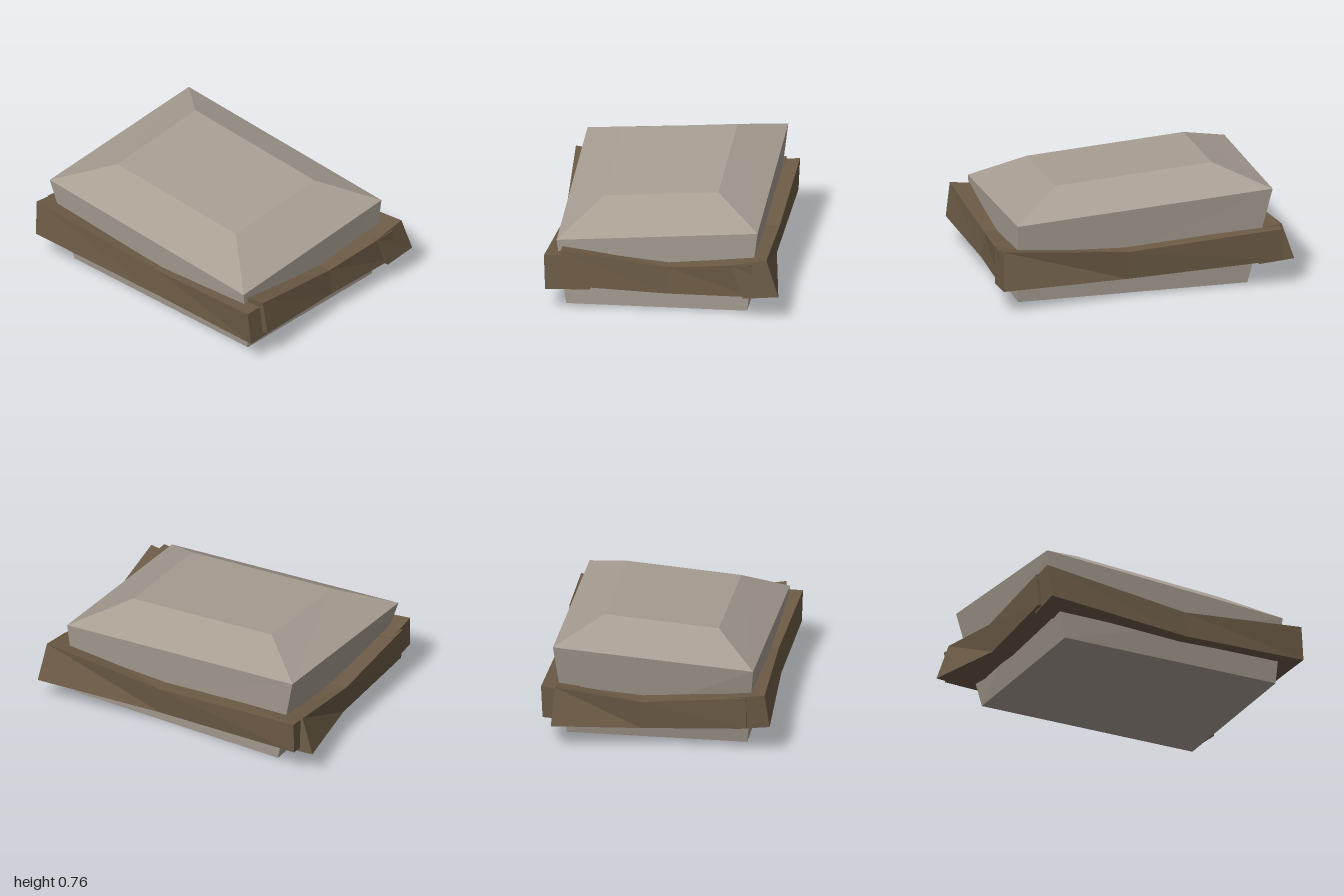
import * as THREE from 'three';

const stone = new THREE.MeshStandardMaterial({ name: 'stone grey', color: 0xa89f93 });
const wood = new THREE.MeshStandardMaterial({ name: 'weathered wood', color: 0x6c5b46 });

// Flat-faced solid lofted through four-cornered sections; corners run
// counter-clockwise when looking back from the last section.
function loft(name, sections, material) {
  const pos = [];
  const quad = (a, b, c, d) => [a, b, c, a, c, d].forEach((p) => pos.push(...p));
  for (let s = 0; s < sections.length - 1; s++) {
    const p = sections[s], q = sections[s + 1];
    for (let i = 0; i < 4; i++) {
      const j = (i + 1) % 4;
      quad(p[i], p[j], q[j], q[i]);
    }
  }
  quad(...[...sections[0]].reverse());
  quad(...sections[sections.length - 1]);
  const geometry = new THREE.BufferGeometry();
  geometry.setAttribute('position', new THREE.Float32BufferAttribute(pos, 3));
  geometry.computeVertexNormals();
  const mesh = new THREE.Mesh(geometry, material);
  mesh.name = name;
  return mesh;
}

export function createModel() {
  const group = new THREE.Group();
  group.name = 'framedStone';

  // Stone block: flared body, slanted rim and bevelled top
  group.add(loft('stoneBlock', [
    [[-0.70, 0, 0.61], [0.82, 0, 0.61], [0.82, 0, -0.56], [-0.70, 0, -0.56]],
    [[-0.86, 0.56, 0.67], [0.84, 0.44, 0.67], [0.84, 0.54, -0.63], [-0.85, 0.65, -0.63]],
    [[-0.52, 0.705, 0.40], [0.52, 0.635, 0.40], [0.52, 0.69, -0.34], [-0.52, 0.76, -0.34]],
  ], stone));

  // Bent planks: outer top, outer bottom, inner bottom, inner top per section
  const frontPlank = [
    [[-0.90, 0.415, 0.75], [-0.88, 0.19, 0.78], [-0.88, 0.16, 0.54], [-0.90, 0.385, 0.515]],
    [[0.12, 0.315, 0.70], [0.12, 0.14, 0.715], [0.12, 0.135, 0.47], [0.12, 0.315, 0.47]],
    [[0.94, 0.37, 0.74], [0.96, 0.145, 0.73], [0.96, 0.155, 0.44], [0.94, 0.375, 0.50]],
  ];
  const backPlank = [
    [[0.95, 0.40, -0.70], [0.97, 0.16, -0.78], [0.97, 0.14, -0.55], [0.95, 0.36, -0.47]],
    [[0.12, 0.325, -0.69], [0.12, 0.135, -0.67], [0.12, 0.14, -0.45], [0.12, 0.32, -0.46]],
    [[-0.90, 0.395, -0.70], [-0.90, 0.18, -0.69], [-0.90, 0.17, -0.46], [-0.90, 0.37, -0.47]],
  ];

  // Side planks are shorter copies turned a quarter
  const turn = (plank, shift) => plank.map((section) =>
    section.map(([x, y, z]) => [z + shift, y, 0.63 - (x + 0.9) * 0.67]));

  group.add(
    loft('frontPlank', frontPlank, wood),
    loft('backPlank', backPlank, wood),
    loft('leftPlank', turn(frontPlank, 0.22), wood),
    loft('rightPlank', turn(backPlank, -0.215), wood),
  );
  return group;
}
